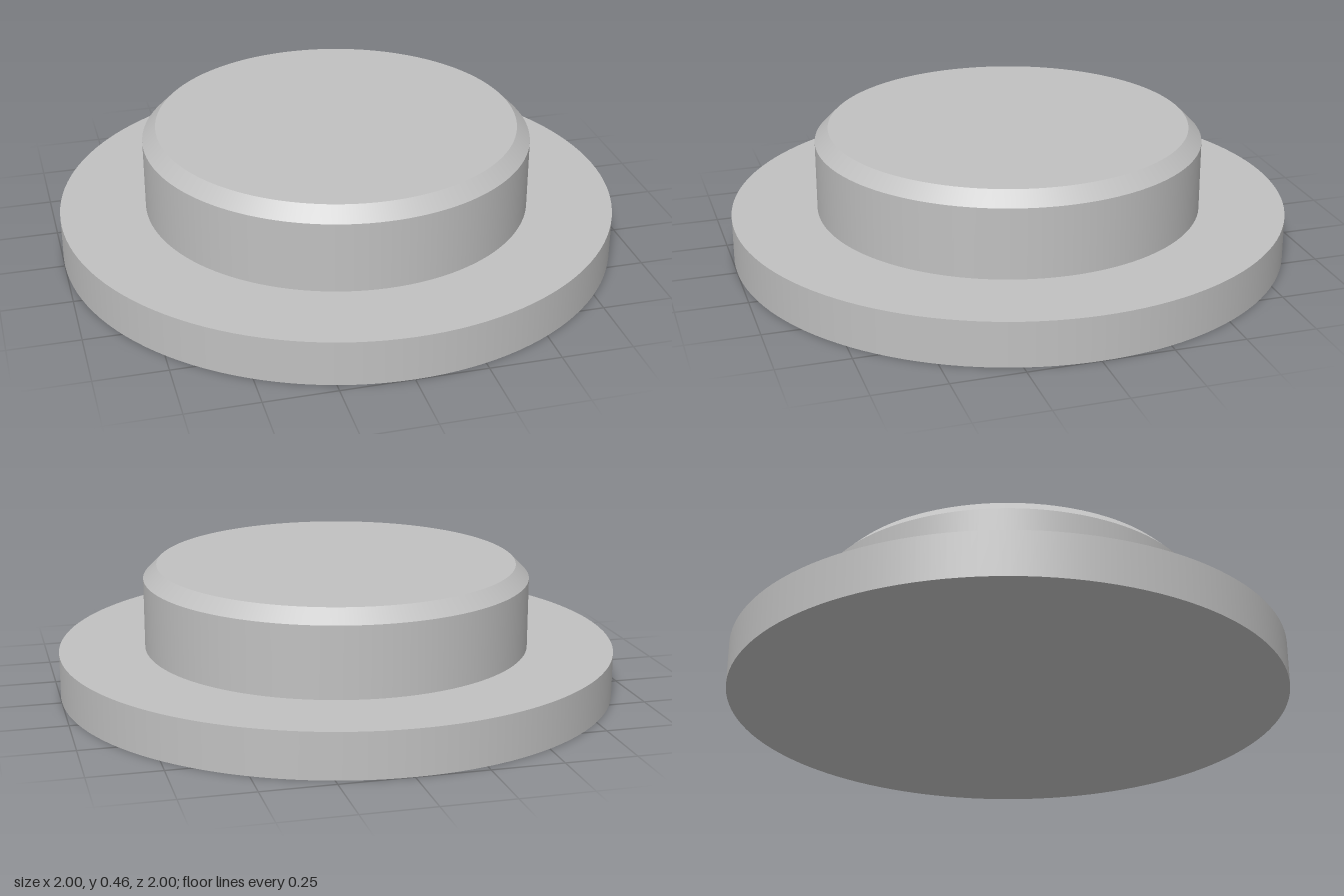
import * as THREE from 'three';

const SEGMENTS = 128;

export function createModel() {
  const model = new THREE.Group();
  model.name = 'flangedPlug';
  const grey = new THREE.MeshStandardMaterial({ color: 0xc0c0c0 });
  grey.name = 'plain grey';

  const add = (parent, name, geometry) => {
    const mesh = new THREE.Mesh(geometry, grey);
    mesh.name = name;
    parent.add(mesh);
  };

  // Open round wall between two heights
  const wall = (parent, name, bottomRadius, topRadius, y0, y1) =>
    add(parent, name, new THREE.CylinderGeometry(topRadius, bottomRadius, y1 - y0, SEGMENTS, 1, true)
      .translate(0, (y0 + y1) / 2, 0));

  // Flat disc facing up or down, with the same corner angles as the walls
  const disc = (parent, name, radius, y, up = true) =>
    add(parent, name, new THREE.CircleGeometry(radius, SEGMENTS)
      .rotateX(up ? -Math.PI / 2 : Math.PI / 2).translate(0, y, 0));

  const flangeRadius = 1, bossRadius = 0.693, topRadius = 0.645;
  const flangeTop = 0.16, chamferStart = 0.412, top = 0.46;

  // Wide flange at the base
  const flange = new THREE.Group();
  flange.name = 'flange';
  disc(flange, 'flangeUnderside', flangeRadius, 0, false);
  wall(flange, 'flangeRim', flangeRadius, flangeRadius, 0, flangeTop);
  add(flange, 'flangeShoulder', new THREE.RingGeometry(bossRadius, flangeRadius, SEGMENTS)
    .rotateX(-Math.PI / 2).translate(0, flangeTop, 0));

  // Raised boss with a chamfered top edge
  const boss = new THREE.Group();
  boss.name = 'boss';
  wall(boss, 'bossWall', bossRadius, bossRadius, flangeTop, chamferStart);
  wall(boss, 'bossChamfer', bossRadius, topRadius, chamferStart, top);
  disc(boss, 'bossTop', topRadius, top);

  model.add(flange, boss);
  return model;
}
